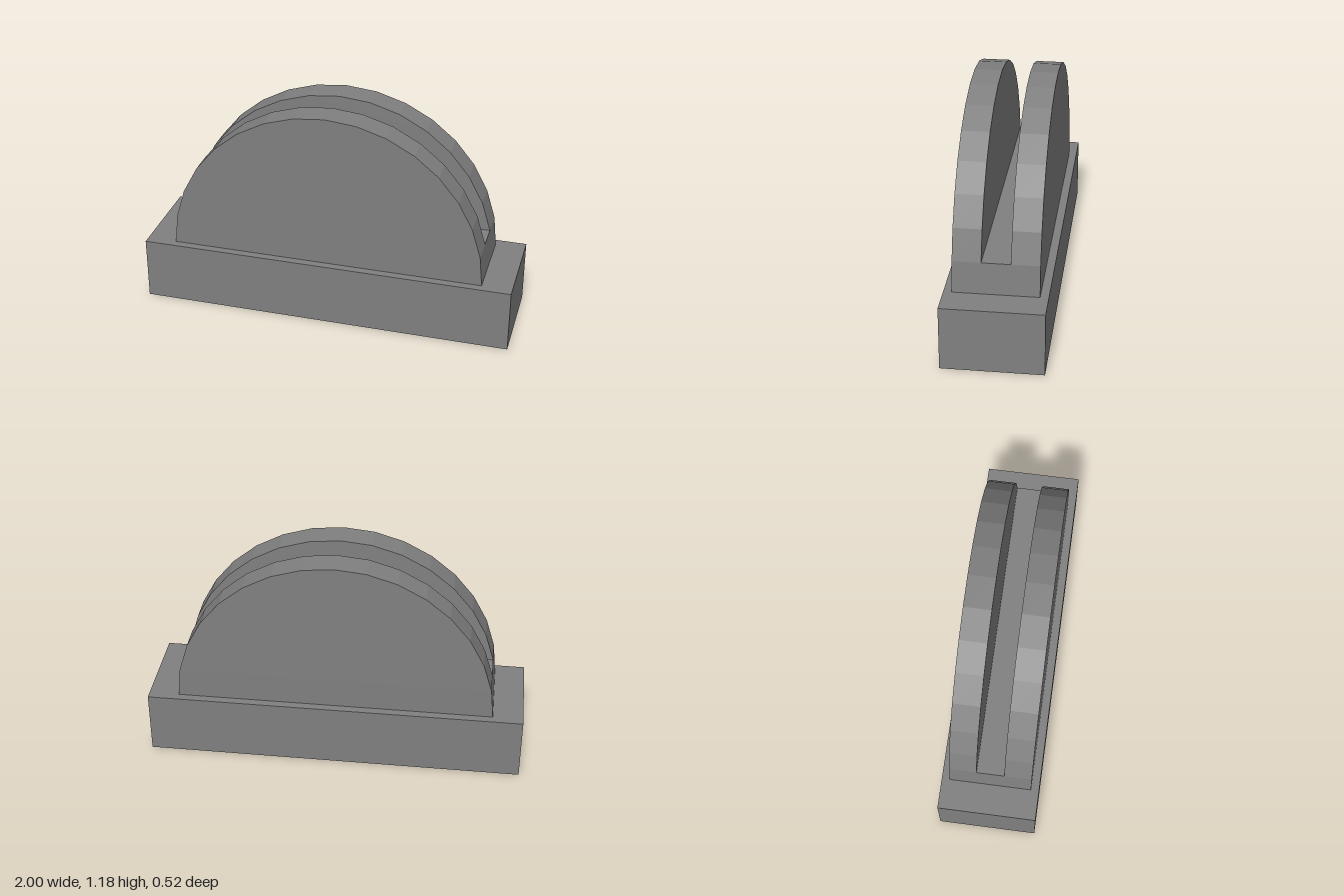
import * as THREE from 'three';

const RADIUS = 0.84, STEPS = 16, BASE_TOP = 0.34;

// Point on the faceted half circle, counted from the +x end
function rim(i) {
  const a = (i / STEPS) * Math.PI;
  return new THREE.Vector2(RADIUS * Math.cos(a), BASE_TOP + RADIUS * Math.sin(a));
}

// Flat slab with the given outline, between two depths
function slab(name, points, zBack, zFront, material) {
  const geometry = new THREE.ExtrudeGeometry(new THREE.Shape(points), {
    depth: zFront - zBack, bevelEnabled: false,
  });
  geometry.translate(0, 0, zBack);
  const mesh = new THREE.Mesh(geometry, material);
  mesh.name = name;
  return mesh;
}

export function createModel() {
  const group = new THREE.Group();
  group.name = 'slottedHolder';
  const grey = new THREE.MeshStandardMaterial({ color: 0x808080, flatShading: true });
  grey.name = 'grey';

  // Rectangular foot
  const base = new THREE.Mesh(new THREE.BoxGeometry(2, BASE_TOP, 0.52), grey);
  base.name = 'base';
  base.position.y = BASE_TOP / 2;
  group.add(base);

  // Solid strip below the slot
  const floorPoints = [rim(0), rim(1), rim(STEPS - 1), rim(STEPS)];
  group.add(slab('slotFloor', floorPoints, -0.217, 0.217, grey));

  // Two rounded cheeks either side of the slot
  const cheekPoints = [];
  for (let i = 1; i < STEPS; i++) cheekPoints.push(rim(i));
  group.add(slab('frontCheek', cheekPoints, 0.073, 0.217, grey));
  group.add(slab('backCheek', cheekPoints, -0.217, -0.073, grey));

  return group;
}
